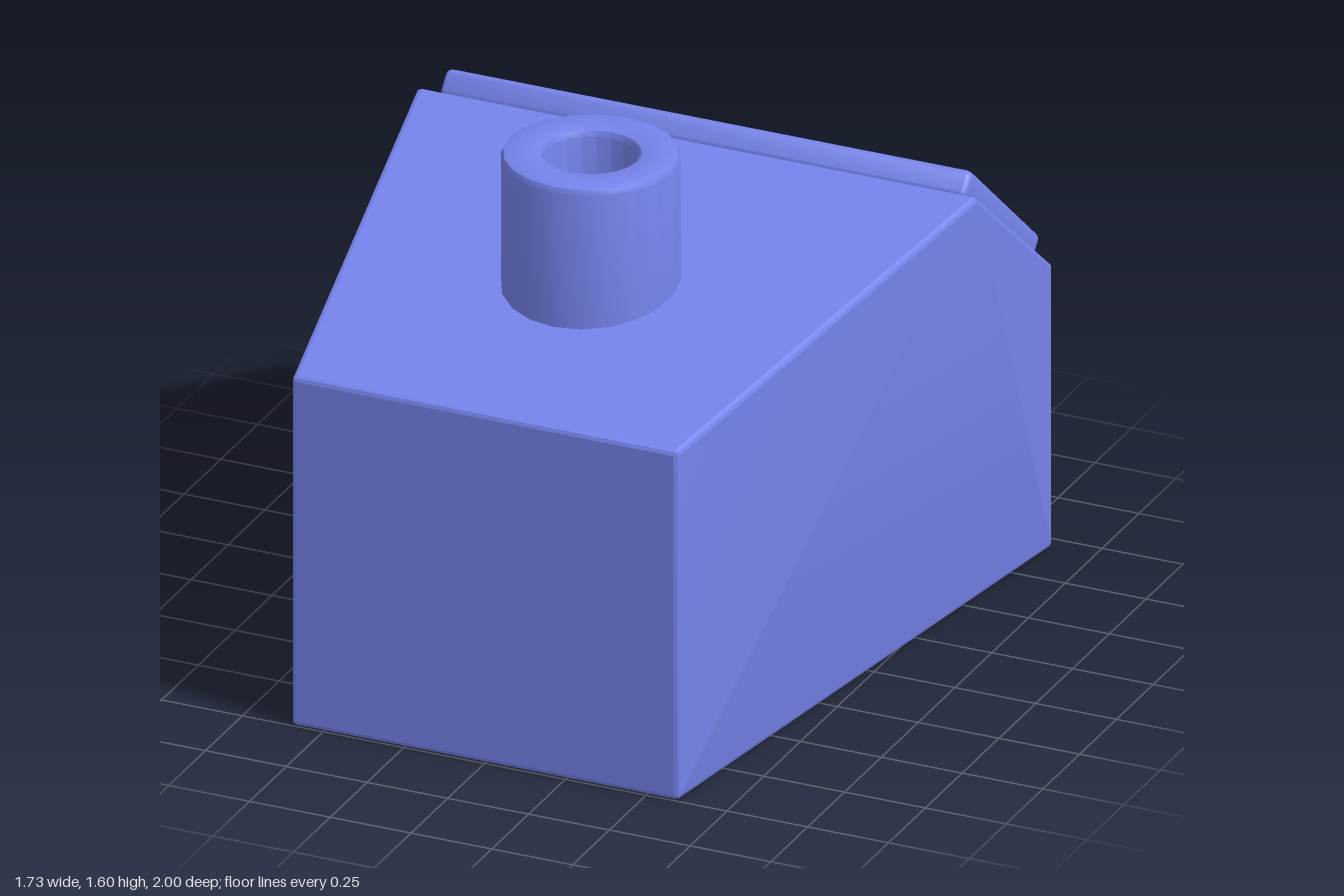
import * as THREE from 'three';
import { toCreasedNormals } from 'three/addons/utils/BufferGeometryUtils.js';
import { RoundedBoxGeometry } from 'three/addons/geometries/RoundedBoxGeometry.js';
import { ConvexGeometry } from 'three/addons/geometries/ConvexGeometry.js';

const material = new THREE.MeshStandardMaterial({ color: 0x7683ec });

function add(parent, name, geometry, x = 0, y = 0, z = 0) {
  const mesh = new THREE.Mesh(geometry, material);
  mesh.name = name;
  mesh.position.set(x, y, z);
  parent.add(mesh);
  return mesh;
}

// Tapered body on a four-cornered base: hull of small balls at its corners, which rounds the edges
function bodyGeometry() {
  const r = 0.015;
  const corners = [ // half width, y, z
    [0.6, 0, 1], [0.6, 1.09, 1],
    [0.867, 1.31, -0.44],
    [0.867, 0.885, -0.96], [0.867, 0, -0.96],
  ];
  const points = [];
  for (const [w, y, z] of corners) {
    const cy = y === 0 ? r : y - r;
    const cz = z === 1 ? z - r : z === -0.96 ? z + r : z;
    for (const side of [-1, 1]) {
      for (let a = -1; a <= 1; a++) for (let b = -1; b <= 1; b++) for (let c = -1; c <= 1; c++) {
        if (!a && !b && !c) continue;
        const d = new THREE.Vector3(a, b, c).setLength(r);
        points.push(d.add(new THREE.Vector3(side * (w - r), cy, cz)));
      }
    }
  }
  return toCreasedNormals(new ConvexGeometry(points), 0.35);
}

// Round chimney with a blind bore and bevelled rims
function chimneyGeometry() {
  const profile = [
    [0.255, 1.0], [0.255, 1.58], [0.249, 1.594], [0.235, 1.6],
    [0.16, 1.6], [0.143, 1.594], [0.136, 1.578], [0.136, 1.25], [0, 1.25],
  ].map(([x, y]) => new THREE.Vector2(x, y));
  return toCreasedNormals(new THREE.LatheGeometry(profile, 20), 0.42);
}

// Rectangle with rounded corners
function rectangle(path, w, h, r) {
  const x = w / 2 - r, y = h / 2 - r;
  path.absarc(x, y, r, 0, Math.PI / 2);
  path.absarc(-x, y, r, Math.PI / 2, Math.PI);
  path.absarc(-x, -y, r, Math.PI, Math.PI * 1.5);
  path.absarc(x, -y, r, Math.PI * 1.5, Math.PI * 2);
  path.closePath();
  return path;
}

// Sloping panel: raised frame around a recessed plate
function createPanel() {
  const panel = new THREE.Group();
  panel.name = 'slopedPanel';
  const w = 1.63, h = 0.63, t = 0.084, border = 0.056, bevel = 0.018;
  const shape = rectangle(new THREE.Shape(), w, h, 0.025);
  shape.holes.push(rectangle(new THREE.Path(), w - 2 * border, h - 2 * border, 0.006));
  const frame = new THREE.ExtrudeGeometry(shape, {
    depth: t - 2 * bevel, bevelThickness: bevel, bevelSize: bevel, bevelOffset: -bevel,
    bevelSegments: 3, curveSegments: 4,
  });
  frame.translate(0, 0, bevel - t / 2);
  add(panel, 'panelFrame', toCreasedNormals(frame, 0.7));
  add(panel, 'panelPlate', new THREE.BoxGeometry(w - 0.07, h - 0.07, 0.05), 0, 0, -0.01);
  panel.position.set(0, 1.114, -0.732);
  panel.lookAt(0, 1.114 + 0.754, -0.732 - 0.657);
  return panel;
}

// Grid of pillowed blocks on the back wall
function createBlocks() {
  const blocks = new THREE.Group();
  blocks.name = 'backBlocks';
  const geometry = new RoundedBoxGeometry(0.268, 0.189, 0.08, 3, 0.028);
  for (let row = 0; row < 4; row++) {
    for (let col = 0; col < 6; col++) {
      add(blocks, 'block', geometry, (col - 2.5) * 0.273, 0.146 + row * 0.191, -0.96);
    }
  }
  return blocks;
}

export function createModel() {
  const model = new THREE.Group();
  model.name = 'house';
  add(model, 'body', bodyGeometry());
  add(model, 'chimney', chimneyGeometry(), 0, 0, 0.278);
  model.add(createPanel(), createBlocks());
  return model;
}
